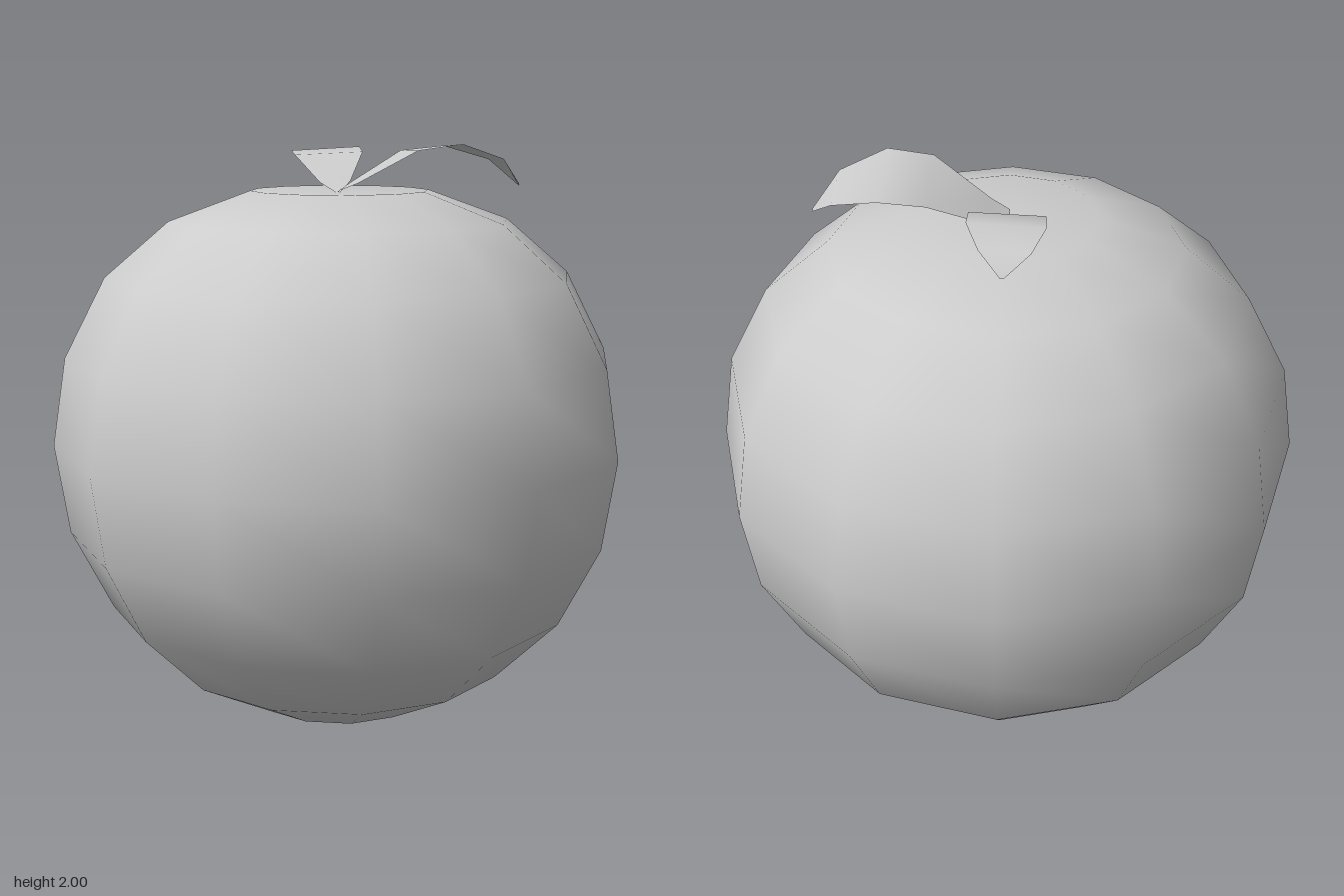
import * as THREE from 'three';

const skin = new THREE.MeshStandardMaterial({ color: 0xcccccc, side: THREE.DoubleSide });
skin.name = 'plain grey';

// Curved leaf along +x; each row is [x, zMin, zMax, y at zMin, y at zMax]
function leaf(name, rows) {
  const positions = [], index = [];
  rows.forEach(([x, z0, z1, y0, y1], i) => {
    positions.push(x, y0, z0, x, y1, z1);
    if (i > 0) {
      const a = 2 * (i - 1);
      index.push(a, a + 1, a + 2, a + 1, a + 3, a + 2);
    }
  });
  const geometry = new THREE.BufferGeometry();
  geometry.setAttribute('position', new THREE.Float32BufferAttribute(positions, 3));
  geometry.setIndex(index);
  geometry.computeVertexNormals();
  const mesh = new THREE.Mesh(geometry, skin);
  mesh.name = name;
  return mesh;
}

export function createModel() {
  const model = new THREE.Group();
  model.name = 'fruit';

  // Twelve-sided round body with a flattened top
  const profile = [
    [0, 0.005], [0.303, 0.055], [0.578, 0.195], [0.795, 0.41], [0.935, 0.685], [0.982, 0.99],
    [0.935, 1.29], [0.795, 1.56], [0.578, 1.745], [0.303, 1.845], [0, 1.835],
  ].map(([r, y]) => new THREE.Vector2(r, y));
  const body = new THREE.Mesh(new THREE.LatheGeometry(profile, 12), skin);
  body.name = 'body';
  model.add(body);

  // Large leaf arching to the side
  model.add(leaf('largeLeaf', [
    [-0.01, 0, 0.05, 1.835, 1.845],
    [0.05, -0.1, 0.075, 1.865, 1.87],
    [0.24, -0.195, 0.16, 1.97, 1.98],
    [0.39, -0.2, 0.162, 1.985, 2.0],
    [0.54, -0.135, 0.1, 1.94, 1.95],
    [0.62, -0.01, 0, 1.855, 1.86],
  ]));

  // Small leaf arching to the back
  const small = leaf('smallLeaf', [
    [0, -0.01, 0, 1.835, 1.835],
    [0.1, -0.055, 0.05, 1.865, 1.87],
    [0.21, -0.13, 0.108, 1.955, 1.965],
    [0.31, -0.133, 0.11, 1.967, 1.98],
    [0.425, -0.09, 0.068, 1.94, 1.95],
    [0.48, -0.01, 0, 1.885, 1.885],
  ]);
  small.rotation.y = Math.PI / 2;
  model.add(small);

  return model;
}
